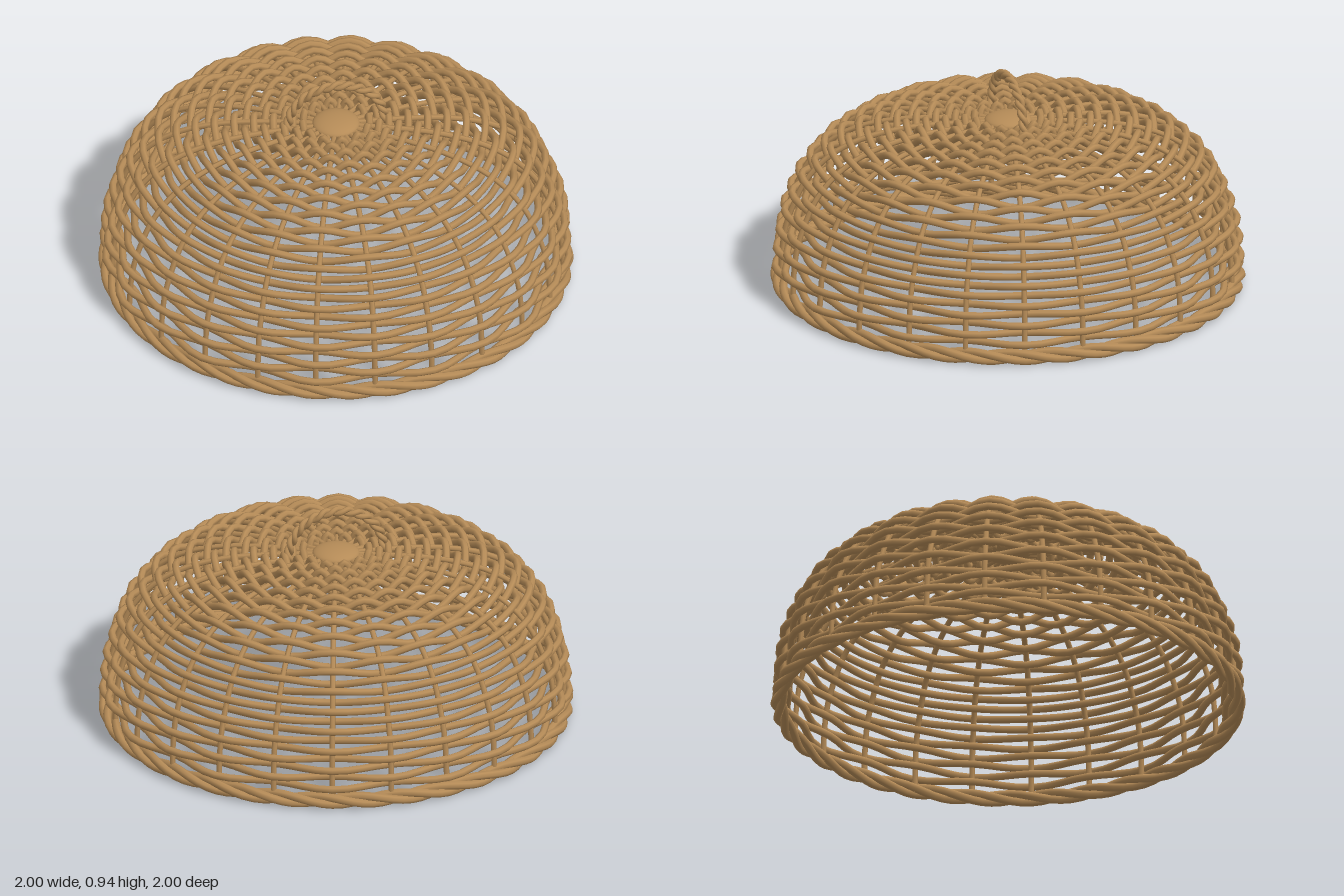
import * as THREE from 'three';

const wicker = new THREE.MeshStandardMaterial({ color: 0xb58b57 });
const SPOKES = 24;
const ROWS = 30;

// A curve sampled evenly in its own parameter
class PathCurve extends THREE.Curve {
  constructor(fn) {
    super();
    this.fn = fn;
  }
  getPoint(t, target = new THREE.Vector3()) {
    return target.copy(this.fn(t));
  }
  getUtoTmapping(u) {
    return u;
  }
}

function strand(name, fn, segments, radius, closed, sides = 7) {
  const geometry = new THREE.TubeGeometry(new PathCurve(fn), segments, radius, sides, closed);
  const mesh = new THREE.Mesh(geometry, wicker);
  mesh.name = name;
  return mesh;
}

// Dome profile (radius, height) from the rim to the crown
const profile = new THREE.SplineCurve([
  [0.957, 0.02], [0.955, 0.13], [0.94, 0.26], [0.903, 0.375], [0.848, 0.485],
  [0.76, 0.58], [0.64, 0.65], [0.48, 0.695], [0.3, 0.715], [0.06, 0.722],
].map(([r, y]) => new THREE.Vector2(r, y)));

// Point on the dome, pushed out along its normal by "lift"
function domePoint(u, angle, lift = 0) {
  const p = profile.getPointAt(u);
  const t = profile.getTangentAt(u);
  const r = p.x + t.y * lift;
  return new THREE.Vector3(r * Math.cos(angle), p.y - t.x * lift, r * Math.sin(angle));
}

export function createModel() {
  const model = new THREE.Group();
  model.name = 'wovenDomeCover';

  // Spokes running from rim to crown
  const spokes = new THREE.Group();
  spokes.name = 'spokes';
  for (let i = 0; i < SPOKES; i++) {
    const angle = (i / SPOKES) * Math.PI * 2;
    spokes.add(strand('spoke', (t) => domePoint(t, angle), 40, 0.012, false, 6));
  }
  model.add(spokes);

  // Rows passing alternately over and under the spokes
  const weave = new THREE.Group();
  weave.name = 'weave';
  for (let i = 0; i < ROWS; i++) {
    const u = 0.055 + (i / (ROWS - 1)) * 0.885;
    const sign = i % 2 ? 1 : -1;
    weave.add(strand('weaveRow', (t) => {
      const a = t * Math.PI * 2;
      return domePoint(u, a, sign * 0.026 * Math.cos((a * SPOKES) / 2));
    }, SPOKES * 4, 0.016, true));
  }
  model.add(weave);

  // Twisted rim
  const rim = new THREE.Group();
  rim.name = 'rim';
  for (let k = 0; k < 3; k++) {
    rim.add(strand('rimStrand', (t) => {
      const a = t * Math.PI * 2;
      const twist = a * 12 + (k / 3) * Math.PI * 2;
      const r = 0.964 + 0.018 * Math.cos(twist);
      return new THREE.Vector3(r * Math.cos(a), 0.036 + 0.018 * Math.sin(twist), r * Math.sin(a));
    }, 144, 0.018, true));
  }
  model.add(rim);

  // Crown button
  const crown = new THREE.Mesh(new THREE.SphereGeometry(0.1, 32, 16), wicker);
  crown.name = 'crownButton';
  crown.scale.y = 0.3;
  crown.position.y = 0.727;
  model.add(crown);

  // Twisted arched handle
  const handle = new THREE.Group();
  handle.name = 'handle';
  for (let k = 0; k < 2; k++) {
    handle.add(strand('handleStrand', (t) => {
      const a = Math.PI * (1.08 * t - 0.04);
      const twist = t * Math.PI * 14 + k * Math.PI;
      const offset = 0.01 * Math.cos(twist);
      return new THREE.Vector3(
        (0.205 + offset) * Math.cos(a),
        0.735 + (0.185 + offset) * Math.sin(a),
        0.01 * Math.sin(twist),
      );
    }, 90, 0.012, false, 8));
  }
  model.add(handle);

  return model;
}
